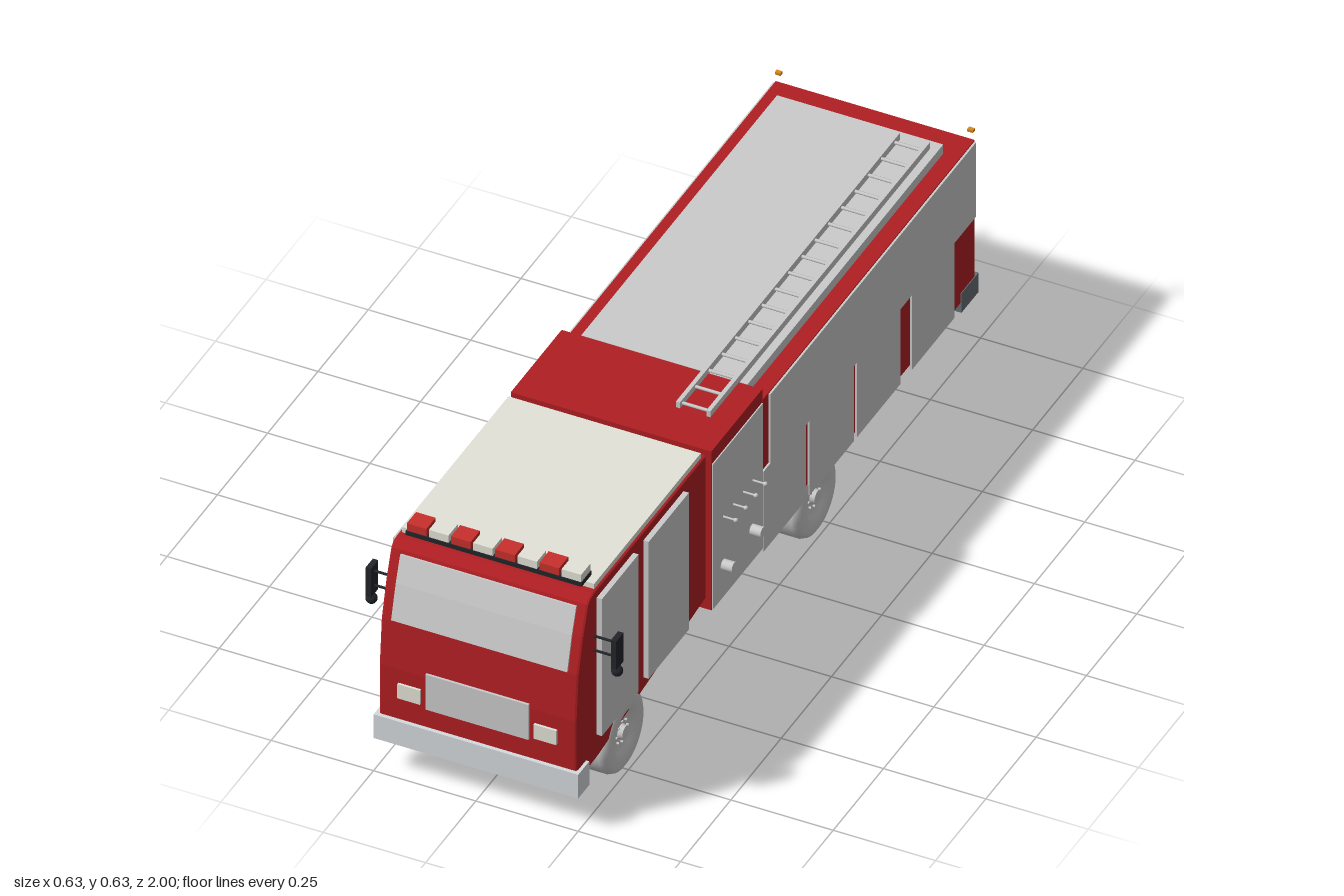
import * as THREE from 'three';

const mat = (color) => new THREE.MeshStandardMaterial({ color });
const GREY = mat(0xcccccc), RED = mat(0xb01e22), LAMP_RED = mat(0xc8302c);
const BLACK = mat(0x22252a), CREAM = mat(0xe4e3d8), STEEL = mat(0xd5dadd);
const DARK_STEEL = mat(0x686e75), ORANGE = mat(0xd98a1e);

export function createModel() {
  const model = new THREE.Group();

  const add = (name, geo, material, x = 0, y = 0, z = 0, parent = model) => {
    const mesh = new THREE.Mesh(geo, material);
    mesh.name = name;
    mesh.position.set(x, y, z);
    parent.add(mesh);
    return mesh;
  };
  // Box given by its extents on each axis
  const box = (name, material, [x0, x1], [y0, y1], [z0, z1], parent = model) =>
    add(name, new THREE.BoxGeometry(x1 - x0, y1 - y0, z1 - z0), material,
      (x0 + x1) / 2, (y0 + y1) / 2, (z0 + z1) / 2, parent);
  const sideBox = (name, material, side, xs, ys, zs) =>
    box(name, material, side > 0 ? xs : [-xs[1], -xs[0]], ys, zs);
  const rod = (name, material, r, length, x, y, z, parent = model, sides = 16) => {
    const m = add(name, new THREE.CylinderGeometry(r, r, length, sides), material, x, y, z, parent);
    m.rotation.z = -Math.PI / 2;
    return m;
  };
  // Side outline in (z, y), extruded across the width
  const extrudeSide = (name, material, points, halfWidth, bevel) => {
    const shape = new THREE.Shape(points.map(([z, y]) => new THREE.Vector2(-z, y)));
    const geo = new THREE.ExtrudeGeometry(shape, {
      depth: 2 * (halfWidth - bevel), bevelEnabled: bevel > 0,
      bevelSize: bevel, bevelOffset: -bevel, bevelThickness: bevel, bevelSegments: 2,
    });
    geo.translate(0, 0, -(halfWidth - bevel));
    geo.rotateY(Math.PI / 2);
    return add(name, geo, material);
  };

  // Cab with curved front and sloping underside
  extrudeSide('cab', RED, [
    [0.345, 0.195], [0.88, 0.125], [0.99, 0.12], [0.99, 0.29], [0.98, 0.41],
    [0.957, 0.5], [0.932, 0.572], [0.922, 0.582], [0.905, 0.586], [0.345, 0.586],
  ], 0.242, 0.006);
  box('cabRoof', CREAM, [-0.235, 0.235], [0.58, 0.6], [0.36, 0.89]);
  extrudeSide('windshield', GREY, [
    [0.96, 0.414], [0.984, 0.414], [0.961, 0.5], [0.939, 0.564], [0.915, 0.564],
  ], 0.215, 0);
  box('grille', GREY, [-0.126, 0.126], [0.206, 0.302], [0.97, 0.995]);
  box('frontBumper', STEEL, [-0.25, 0.25], [0.09, 0.155], [0.945, 1]);

  // Warning light bar
  box('lightBarBase', BLACK, [-0.215, 0.215], [0.6, 0.611], [0.862, 0.912]);
  for (let i = 0; i < 8; i++) {
    const x = -0.189 + i * 0.054;
    box('lightBarLamp', i % 2 ? CREAM : LAMP_RED, [x - 0.024, x + 0.024], [0.611, 0.631], [0.864, 0.91]);
  }

  // Pump section
  box('pumpModule', RED, [-0.245, 0.245], [0.15, 0.586], [0.075, 0.328]);
  box('pumpPanel', GREY, [0.24, 0.248], [0.18, 0.55], [0.077, 0.326]);
  box('pumpPanelSkirt', GREY, [0.24, 0.248], [0.152, 0.18], [0.077, 0.326]);
  for (const z of [0.275, 0.225, 0.175, 0.128]) {
    rod('valveRod', GREY, 0.0025, 0.034, 0.262, 0.373, z, model, 8);
    add('valveKnob', new THREE.SphereGeometry(0.0055, 12, 8), GREY, 0.279, 0.373, z);
  }
  for (const z of [0.275, 0.133]) rod('hoseOutlet', GREY, 0.013, 0.03, 0.26, 0.242, z);

  // Rear body
  box('body', RED, [-0.243, 0.243], [0.152, 0.552], [-0.985, 0.068]);
  box('roofHatch', GREY, [-0.203, 0.203], [0.55, 0.577], [-0.91, 0.063]);
  box('rearBumper', DARK_STEEL, [-0.245, 0.245], [0.125, 0.178], [-1, -0.915]);

  // Chassis
  for (const x of [-0.09, 0.09]) {
    box('frameRail', BLACK, [x - 0.011, x + 0.011], [0.153, 0.2], [-0.5, 0.72]);
  }
  rod('rearAxle', BLACK, 0.016, 0.34, 0, 0.1, -0.205);
  rod('frontAxle', BLACK, 0.014, 0.4, 0, 0.1, 0.75);

  // Wheels: lathed tyre with recessed rim, hub and nuts
  const buildWheel = (name, side, width, z) => {
    const wheel = new THREE.Group();
    wheel.name = name;
    const h = width / 2;
    const profile = [
      [0, -h + 0.012], [0.05, -h + 0.012], [0.058, -h], [0.085, -h], [0.095, -h + 0.006],
      [0.1, -h + 0.018], [0.1, h - 0.018], [0.095, h - 0.006], [0.085, h], [0.058, h],
      [0.052, h - 0.008], [0.03, h - 0.014], [0, h - 0.014],
    ].map(([r, y]) => new THREE.Vector2(r, y));
    add('tyre', new THREE.LatheGeometry(profile, 40), GREY, 0, 0, 0, wheel);
    add('hub', new THREE.CylinderGeometry(0.016, 0.018, 0.012, 20), GREY, 0, h - 0.008, 0, wheel);
    for (let i = 0; i < 8; i++) {
      const a = (i * Math.PI) / 4;
      add('wheelNut', new THREE.CylinderGeometry(0.003, 0.003, 0.008, 6), GREY,
        0.028 * Math.cos(a), h - 0.012, 0.028 * Math.sin(a), wheel);
    }
    wheel.rotation.z = -side * Math.PI / 2;
    wheel.position.set(side * (0.245 - h), 0.1, z);
    model.add(wheel);
  };

  // Parts mirrored on both sides
  for (const s of [-1, 1]) {
    buildWheel('frontWheel', s, 0.075, 0.75);
    buildWheel('rearWheel', s, 0.115, -0.205);

    sideBox('frontDoor', GREY, s, [0.236, 0.255], [0.19, 0.566], [0.71, 0.892]);
    sideBox('rearDoor', GREY, s, [0.236, 0.255], [0.19, 0.566], [0.46, 0.66]);
    sideBox('headlight', CREAM, s, [0.139, 0.194], [0.215, 0.254], [0.975, 0.996]);
    sideBox('tailLight', LAMP_RED, s, [0.212, 0.236], [0.19, 0.25], [-0.992, -0.98]);
    sideBox('markerLight', ORANGE, s, [0.228, 0.242], [0.575, 0.582], [-0.988, -0.978]);

    // Storage lockers
    sideBox('upperLocker', GREY, s, [0.238, 0.248], [0.345, 0.549], [-0.982, 0.04]);
    for (const [z0, z1] of [[-0.137, 0.075], [-0.375, -0.154], [-0.605, -0.39], [-0.875, -0.663]]) {
      sideBox('lowerLocker', GREY, s, [0.238, 0.248], [0.14, 0.346], [z0, z1]);
    }
    sideBox('lockerCorner', GREY, s, [0.238, 0.248], [0.345, 0.36], [0.04, 0.075]);

    // Mirrors
    for (const y of [0.431, 0.47]) rod('mirrorArm', BLACK, 0.003, 0.062, s * 0.269, y, 0.905, model, 8);
    sideBox('mirror', BLACK, s, [0.293, 0.306], [0.41, 0.489], [0.889, 0.925]);
    add('roundMirror', new THREE.SphereGeometry(0.0135, 20, 14), BLACK, s * 0.3, 0.396, 0.908);
  }

  // Roof ladder
  const ladder = new THREE.Group();
  ladder.name = 'ladder';
  for (const x of [0.109, 0.183]) {
    box('ladderRail', GREY, [x - 0.005, x + 0.005], [0.584, 0.602], [-0.875, 0.217], ladder);
  }
  for (let i = 0; i < 17; i++) {
    rod('ladderRung', GREY, 0.004, 0.07, 0.146, 0.593, 0.205 - i * 0.066, ladder, 8);
  }
  model.add(ladder);

  return model;
}
